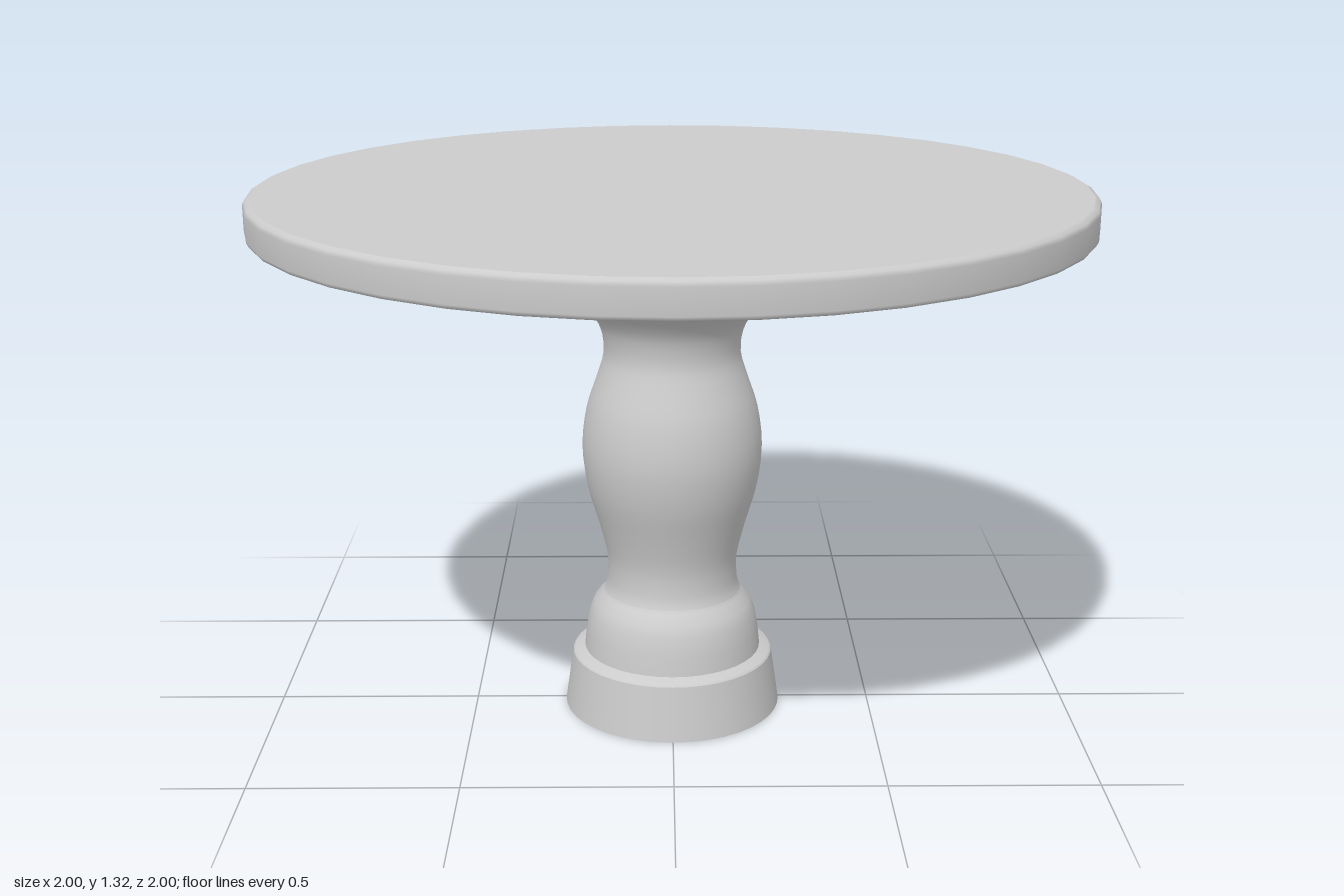
import * as THREE from 'three';

const SIDES = 40;
const material = new THREE.MeshStandardMaterial({ color: 0xcccccc, side: THREE.DoubleSide });

// Smooth turned part from [radius, height] points, listed bottom to top
function turned(name, points) {
  const profile = points.map(([r, y]) => new THREE.Vector2(r, y));
  const mesh = new THREE.Mesh(new THREE.LatheGeometry(profile, SIDES), material);
  mesh.name = name;
  return mesh;
}

// Smooth curve sampled through a few profile points
function curved(points, samples) {
  const curve = new THREE.SplineCurve(points.map(([r, y]) => new THREE.Vector2(r, y)));
  return curve.getPoints(samples).map((p) => [p.x, p.y]);
}

export function createModel() {
  const pedestalTable = new THREE.Group();
  pedestalTable.name = 'pedestalTable';

  pedestalTable.add(
    // Hollow foot, open at the floor, with a narrow ledge on top
    turned('foot', [[0.272, 0], [0.252, 0.138]]),
    turned('footLedge', [[0.252, 0.138], [0.247, 0.144], [0.222, 0.152]]),
    // Rounded collar above the foot
    turned('lowerCollar', [[0.222, 0.152], [0.217, 0.2], [0.209, 0.245], [0.196, 0.275], [0.175, 0.3]]),
    turned('lowerCollarStep', [[0.175, 0.3], [0.171, 0.306]]),
    // Vase-shaped column
    turned('column', curved([
      [0.171, 0.306], [0.163, 0.335], [0.163, 0.4], [0.183, 0.485], [0.21, 0.58], [0.222, 0.68],
      [0.21, 0.78], [0.184, 0.86], [0.167, 0.92], [0.174, 0.98], [0.196, 1.02], [0.222, 1.05],
    ], 33)),
    // Thin band at the head of the column
    turned('band', [[0.222, 1.05], [0.222, 1.066]]),
    turned('bandTop', [[0.222, 1.066], [0.207, 1.072]]),
    // Flare spreading out beneath the top
    turned('flare', [
      [0.207, 1.072], [0.21, 1.11], [0.221, 1.15], [0.24, 1.183],
      [0.266, 1.203], [0.3, 1.216], [0.41, 1.23], [0.6, 1.233],
    ]),
    // Round top with softened edges
    turned('topUnderside', [[0.6, 1.233], [0.985, 1.238]]),
    turned('topRim', [[0.985, 1.238], [0.995, 1.241], [1, 1.25], [1, 1.308], [0.996, 1.318], [0.985, 1.324]]),
    turned('topSurface', [[0.985, 1.324], [0, 1.324]]),
  );
  return pedestalTable;
}
